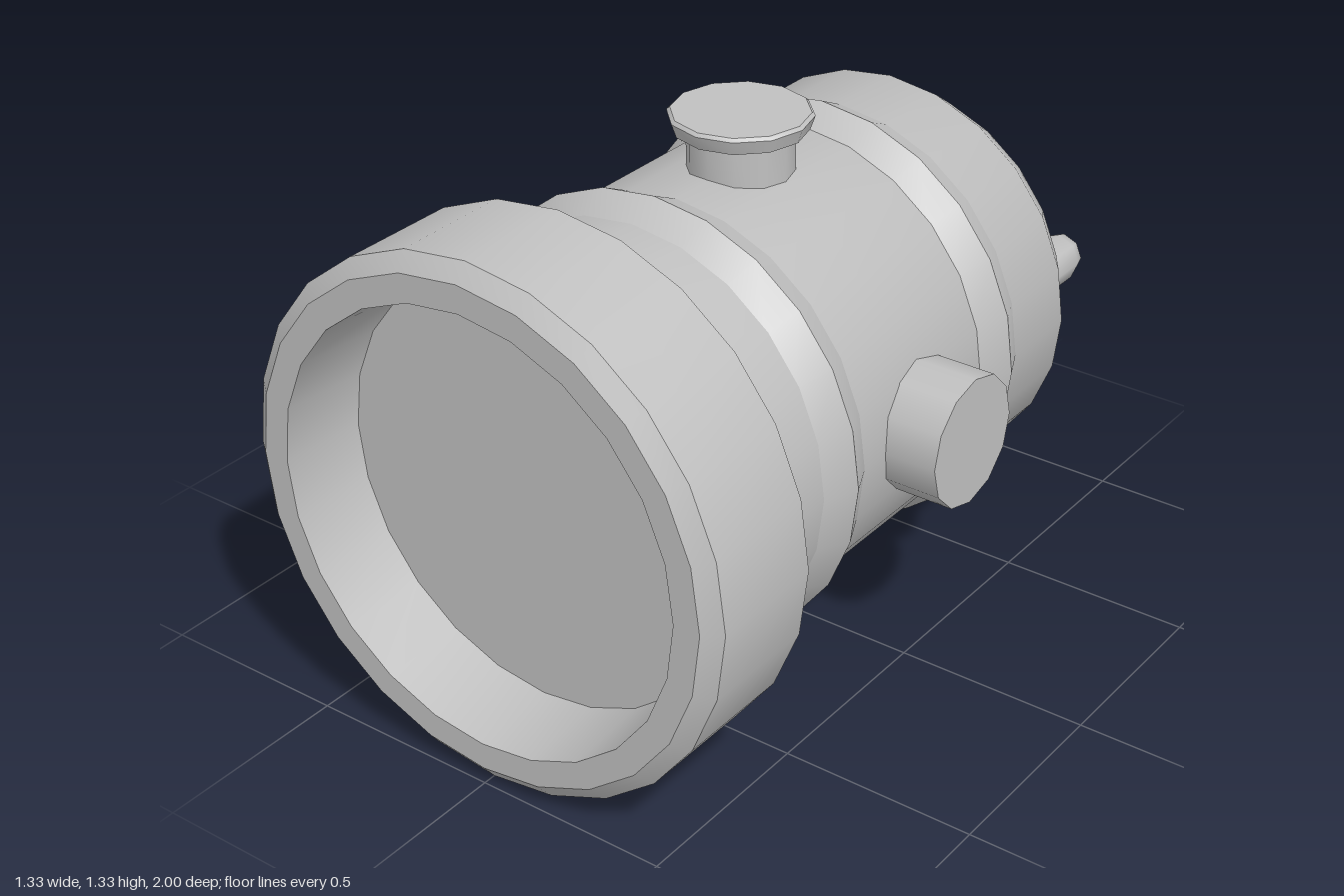
import * as THREE from 'three';
import { toCreasedNormals } from 'three/addons/utils/BufferGeometryUtils.js';

const AXIS_Y = 0.667;

// Revolved profile of [radius, height] points, listed from low to high
function lathe(points, sides, crease) {
  const profile = points.map(([r, h]) => new THREE.Vector2(r, h));
  return toCreasedNormals(new THREE.LatheGeometry(profile, sides), crease);
}

export function createModel() {
  const group = new THREE.Group();
  const grey = new THREE.MeshStandardMaterial({ color: 0xc0c0c0 });
  grey.name = 'plain grey';

  const add = (name, geometry, x = 0, y = AXIS_Y, z = 0) => {
    const mesh = new THREE.Mesh(geometry, grey);
    mesh.name = name;
    mesh.position.set(x, y, z);
    group.add(mesh);
    return mesh;
  };

  // Barrel with a rounded back end, turned to lie along z
  add('barrel', lathe([
    [0, -0.835], [0.3, -0.81], [0.467, -0.74], [0.533, -0.64], [0.533, 0.72], [0, 0.72],
  ], 24, 0.75).rotateX(Math.PI / 2));

  // Raised ridges around the barrel
  for (const z of [-0.333, 0.333]) {
    add('ridge', lathe([
      [0.53, -0.088], [0.571, 0], [0.53, 0.088],
    ], 24, 0.35).rotateX(Math.PI / 2), 0, AXIS_Y, z);
  }

  // Wide front collar with a recessed plate
  add('frontCollar', lathe([
    [0.52, 0.627], [0.622, 0.627], [0.667, 0.667], [0.667, 0.967], [0.625, 1],
    [0.556, 1], [0.542, 0.78], [0, 0.78],
  ], 24, 0.4).rotateX(Math.PI / 2));

  // Side knobs
  for (const side of [-1, 1]) {
    const knob = new THREE.CylinderGeometry(0.165, 0.165, 0.2, 12).rotateZ(-side * Math.PI / 2);
    add('sideKnob', knob, side * 0.566);
  }

  // Flanged button on top
  add('topButton', lathe([
    [0.13, 1.1], [0.13, 1.287], [0.163, 1.29], [0.175, 1.325], [0.167, 1.333], [0, 1.333],
  ], 12, 0.6), 0, 0);

  // Rounded pegs at the back
  for (const side of [-1, 1]) {
    add('backPeg', lathe([
      [0, -1], [0.032, -0.993], [0.055, -0.972], [0.065, -0.94], [0.065, -0.77], [0, -0.77],
    ], 8, 0.9).rotateX(Math.PI / 2), side * 0.345);
  }

  return group;
}
